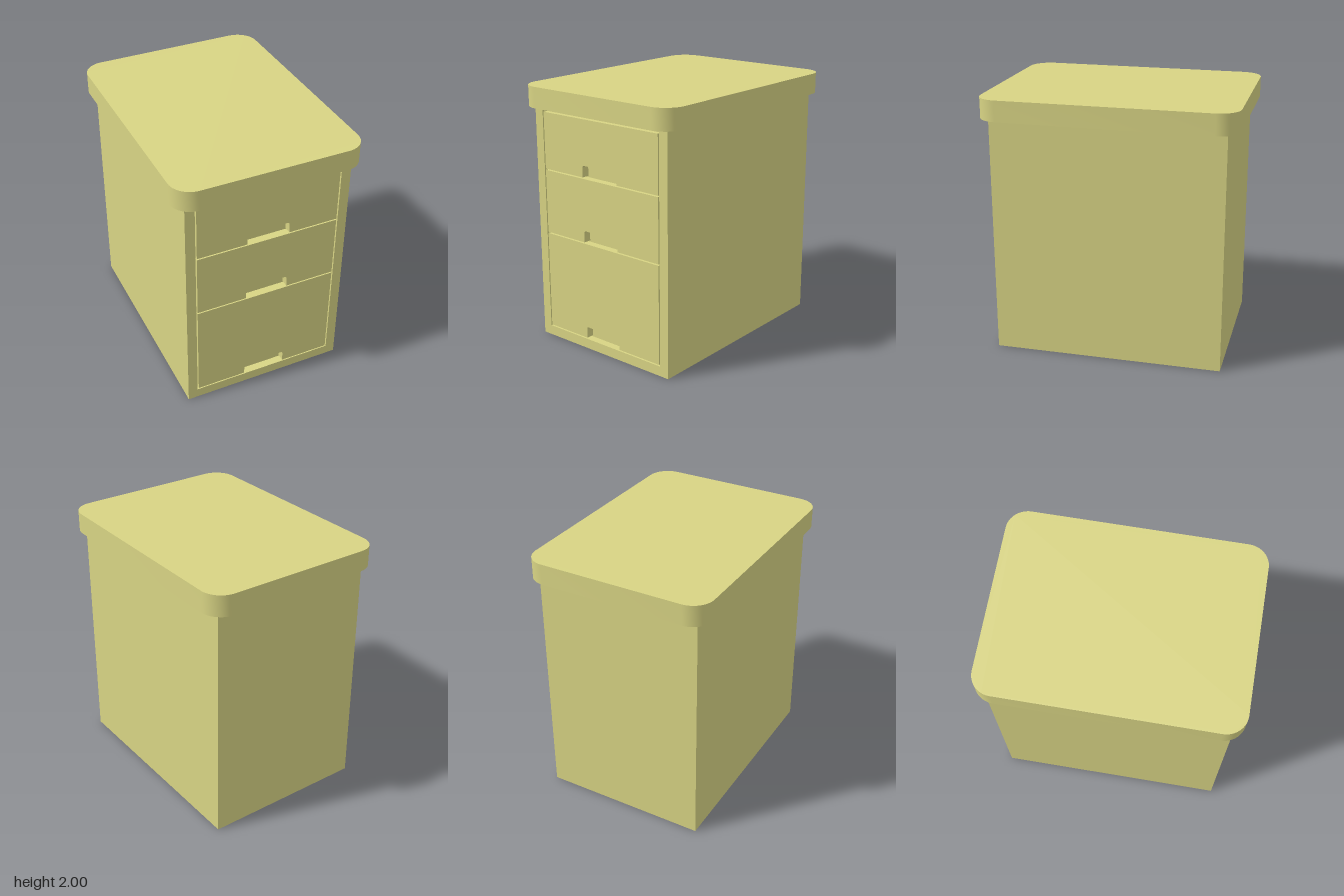
import * as THREE from 'three';
import { mergeGeometries, toCreasedNormals } from 'three/addons/utils/BufferGeometryUtils.js';

const material = new THREE.MeshStandardMaterial({ color: 0xd8d484 });

const W = 0.64, D = 0.88, H = 1.84;              // cabinet half width, half depth, height
const OPEN = { x: 0.565, y0: 0.077, y1: 1.815 }; // front opening
const RECESS = 0.06;                             // depth of the opening and drawer fronts

function add(group, geometry, name) {
  const mesh = new THREE.Mesh(geometry, material);
  mesh.name = name;
  group.add(mesh);
  return mesh;
}

function trace(path, points) {
  points.forEach(([x, y], i) => (i ? path.lineTo(x, y) : path.moveTo(x, y)));
  path.closePath();
  return path;
}

const rect = (x, y0, y1) => [[-x, y0], [x, y0], [x, y1], [-x, y1]];

// Box with its +z side left open; inward turns it inside out
function openBox(w, h, d, inward) {
  const g = new THREE.BoxGeometry(w, h, d);
  const index = Array.from(g.index.array);
  index.splice(24, 6);
  if (inward) {
    index.reverse();
    const n = g.attributes.normal;
    for (let i = 0; i < n.count; i++) n.setXYZ(i, -n.getX(i), -n.getY(i), -n.getZ(i));
  }
  g.setIndex(index);
  return g;
}

// Cabinet shell: outer sides, front frame and shallow recess
function cabinetGeometry() {
  const outer = openBox(2 * W, H, 2 * D, false).translate(0, H / 2, 0);
  const face = trace(new THREE.Shape(), rect(W, 0, H));
  face.holes.push(trace(new THREE.Path(), rect(OPEN.x, OPEN.y0, OPEN.y1)));
  const frame = new THREE.ShapeGeometry(face).translate(0, 0, D);
  const recess = openBox(2 * OPEN.x, OPEN.y1 - OPEN.y0, RECESS, true)
    .translate(0, (OPEN.y0 + OPEN.y1) / 2, D - RECESS / 2);
  return mergeGeometries([outer, frame, recess]);
}

// Drawer front with a rounded finger notch in its lower edge
function drawerGeometry(y0, y1) {
  const x = 0.555, n = 0.167, top = y0 + 0.09, r = 0.018;
  const s = new THREE.Shape();
  s.moveTo(-x, y0);
  s.lineTo(-n, y0);
  s.lineTo(-n, top - r);
  s.absarc(-n + r, top - r, r, Math.PI, Math.PI / 2, true);
  s.absarc(n - r, top - r, r, Math.PI / 2, 0, true);
  s.lineTo(n, y0);
  s.lineTo(x, y0);
  s.lineTo(x, y1);
  s.lineTo(-x, y1);
  s.closePath();
  const g = new THREE.ExtrudeGeometry(s, { depth: RECESS, bevelEnabled: false, curveSegments: 4 });
  return toCreasedNormals(g.translate(0, 0, D - RECESS), 0.6);
}

// Overhanging slab with rounded corners
function worktopGeometry() {
  const x = 0.72, z = 0.96, r = 0.16;
  const s = new THREE.Shape();
  [[1, 1], [-1, 1], [-1, -1], [1, -1]].forEach(([sx, sz], i) => {
    const a = i * Math.PI / 2;
    s.absarc(sx * (x - r), sz * (z - r), r, a, a + Math.PI / 2, false);
  });
  s.closePath();
  const g = new THREE.ExtrudeGeometry(s, { depth: 2 - H, bevelEnabled: false, curveSegments: 6 });
  g.rotateX(-Math.PI / 2).translate(0, H, 0);
  return toCreasedNormals(g, 0.6);
}

export function createModel() {
  const group = new THREE.Group();
  group.name = 'drawerCabinet';
  add(group, cabinetGeometry(), 'cabinet');
  add(group, worktopGeometry(), 'worktop');
  const drawers = { lowerDrawer: [0.087, 0.854], middleDrawer: [0.864, 1.357], upperDrawer: [1.367, 1.803] };
  for (const [name, [y0, y1]] of Object.entries(drawers)) add(group, drawerGeometry(y0, y1), name);
  return group;
}
